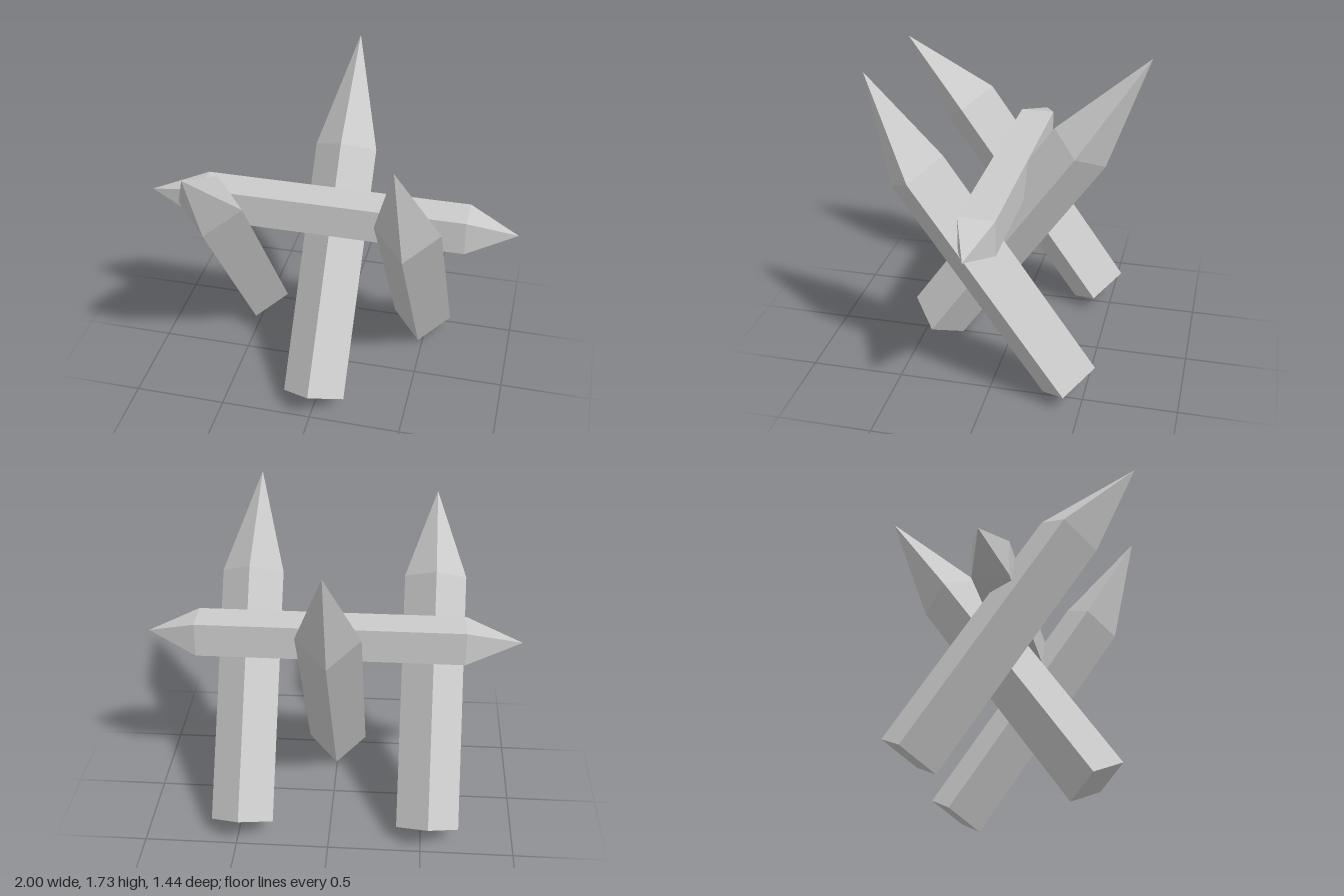
import * as THREE from 'three';
import { ConvexGeometry } from 'three/addons/geometries/ConvexGeometry.js';

const material = new THREE.MeshStandardMaterial({ color: 0xcccccc, flatShading: true });

// Four corners around a centre, along two half-axes
function ring(center, u, v, signs) {
  return signs.map(([a, b]) => center.clone().addScaledVector(u, a).addScaledVector(v, b));
}

const DIAMOND = [[1, 0], [0, 1], [-1, 0], [0, -1]];
const SQUARE = [[1, 1], [-1, 1], [-1, -1], [1, -1]];

function addPart(group, name, points) {
  const mesh = new THREE.Mesh(new ConvexGeometry(points), material);
  mesh.name = name;
  group.add(mesh);
}

// Square post standing on one edge, leaning towards z * lean, with its own tip
function stake(x, lean, tip) {
  const base = new THREE.Vector3(x, 0.097, -0.42 * lean);
  const shoulder = new THREE.Vector3(x, 1.225, 0.37 * lean);
  const axis = shoulder.clone().sub(base).normalize();
  const u = new THREE.Vector3(0.168, 0, 0);
  const v = new THREE.Vector3(1, 0, 0).cross(axis).multiplyScalar(0.168);
  return [
    ...ring(base, u, v, DIAMOND),
    ...ring(shoulder, u, v, DIAMOND),
    new THREE.Vector3(...tip),
  ];
}

export function createModel() {
  const group = new THREE.Group();
  group.name = 'stakeBarricade';

  // Crossed stakes: outer two lean forward, the middle one leans back
  addPart(group, 'rightStake', stake(-0.535, 1, [-0.535, 1.585, 0.72]));
  addPart(group, 'middleStake', stake(0.005, -1, [0.005, 1.735, -0.72]));
  addPart(group, 'leftStake', stake(0.475, 1, [0.44, 1.71, 0.635]));

  // Crossbar pointed at both ends, resting in the crossing
  const y = 1.035;
  const up = new THREE.Vector3(0, 0.094, 0);
  const out = new THREE.Vector3(0, 0, 0.094);
  addPart(group, 'crossbar', [
    ...ring(new THREE.Vector3(-0.7, y, 0), up, out, SQUARE),
    ...ring(new THREE.Vector3(0.735, y, 0), up, out, SQUARE),
    new THREE.Vector3(-1, y, 0),
    new THREE.Vector3(1, y, 0),
  ]);

  return group;
}
